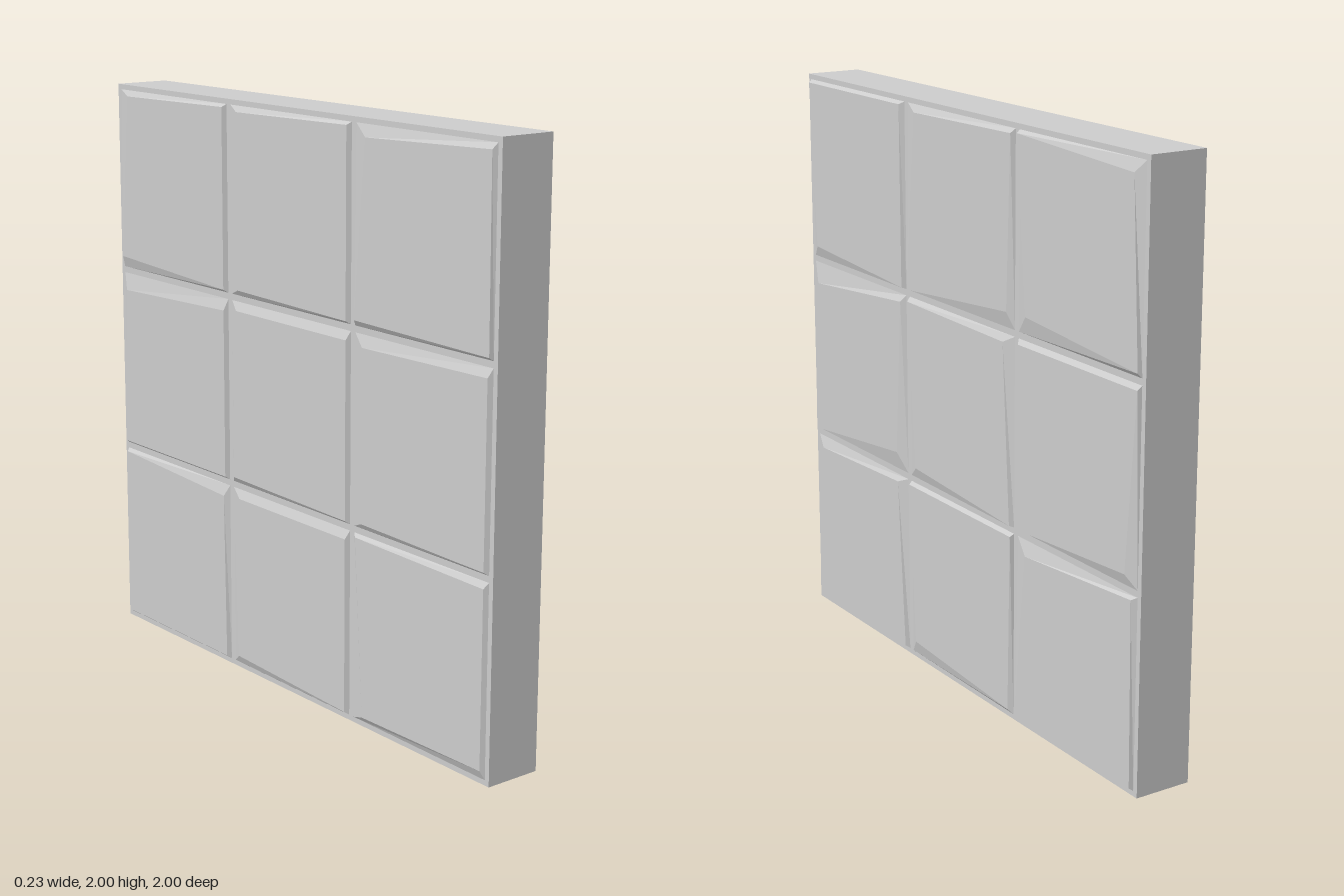
import * as THREE from 'three';

const DEPTH = 0.2, PITCH = 0.662, HALF = 0.32, RAISE = 0.014;

// Chamfer insets in hundredths (sideways, vertical) for the corners
// top-left, top-right, bottom-right, bottom-left; tiles run row by row from the top.
const RIGHT_FACE = [
  [0.5, 1, 1.5, 1, 1, 0.5, 4, 4], [6, 2.5, 1, 1.5, 3, 5.5, 0.5, 0.5], [0.5, 1, 4, 4, 0.5, 1.5, 5.5, 6],
  [4, 7.5, 2, 2.5, 5.5, 6.5, 0.5, 0.5], [0.5, 1.5, 5, 2.5, 1, 0.5, 5, 4], [1.5, 1.5, 0.5, 1.5, 5, 4, 1, 0.5],
  [5, 4, 5, 2, 1, 1, 0.5, 1], [0.5, 1, 0.5, 1, 1.5, 1.5, 4, 5], [6, 5, 1.5, 1, 0.5, 1, 0.5, 0.5],
];
const LEFT_FACE = [
  [6, 2, 1, 1, 1, 1, 1, 4], [5, 2, 1, 1, 1, 1, 5, 2], [6, 4, 1, 2, 0.5, 1, 1, 2],
  [3, 6, 1, 4, 1, 1, 1, 1], [4, 3, 1, 3, 1, 1, 2, 2], [5, 4, 1, 3, 1, 1, 5, 2],
  [1, 1, 2, 4, 1, 1, 2, 1], [5, 3, 1, 3, 1, 1, 4, 3], [2, 1, 1, 2, 1, 3, 6, 2],
];
const CORNERS = [[-1, 1], [1, 1], [1, -1], [-1, -1]];

// Flat stone with an uneven chamfer around its raised face
function tileGeometry(insets) {
  const base = CORNERS.map(([x, y]) => [x * HALF, y * HALF, 0]);
  const top = CORNERS.map(([x, y], i) => [
    x * (HALF - insets[i * 2] / 100), y * (HALF - insets[i * 2 + 1] / 100), RAISE,
  ]);
  const points = [];
  const quad = (a, b, c, d) => points.push(...a, ...b, ...c, ...a, ...c, ...d);
  quad(top[3], top[2], top[1], top[0]);
  for (let i = 0; i < 4; i++) {
    const j = (i + 1) % 4;
    quad(base[j], base[i], top[i], top[j]);
  }
  const geometry = new THREE.BufferGeometry();
  geometry.setAttribute('position', new THREE.Float32BufferAttribute(points, 3));
  geometry.computeVertexNormals();
  return geometry;
}

// Three by three tiles laid out facing +z, then turned to the given side
function tiledFace(name, table, side, material) {
  const face = new THREE.Group();
  face.name = name;
  table.forEach((insets, i) => {
    const tile = new THREE.Mesh(tileGeometry(insets), material);
    tile.name = 'tile';
    tile.position.set((i % 3 - 1) * PITCH, (1 - Math.floor(i / 3)) * PITCH, DEPTH / 2);
    face.add(tile);
  });
  face.position.y = 1;
  face.rotation.y = side * Math.PI / 2;
  return face;
}

export function createModel() {
  const material = new THREE.MeshStandardMaterial({ color: 0xcccccc, flatShading: true });
  const model = new THREE.Group();
  model.name = 'tiledWall';

  // Wall core
  const core = new THREE.Mesh(new THREE.BoxGeometry(DEPTH, 2, 2), material);
  core.name = 'wallCore';
  core.position.y = 1;
  model.add(core);

  // Tiles on both broad sides
  model.add(tiledFace('tilesPositiveX', RIGHT_FACE, 1, material));
  model.add(tiledFace('tilesNegativeX', LEFT_FACE, -1, material));
  return model;
}
